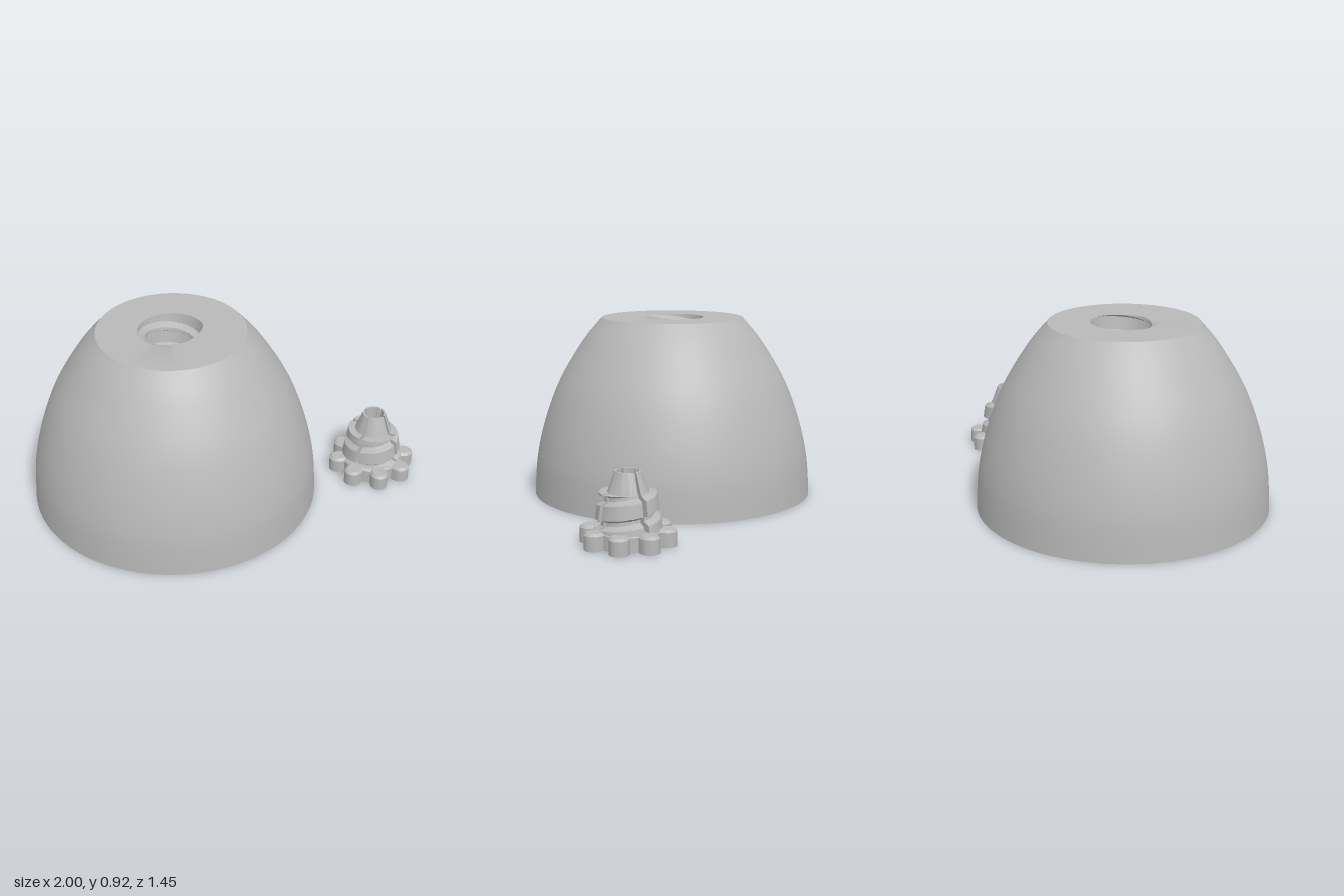
import * as THREE from 'three';
import { toCreasedNormals } from 'three/addons/utils/BufferGeometryUtils.js';

const TAU = Math.PI * 2;

// Surface from rows of points; at(i, j) gives [x, y, z] for column i of row j
function gridSurface(columns, rows, at) {
  const pos = [], index = [];
  for (let j = 0; j <= rows; j++)
    for (let i = 0; i <= columns; i++) pos.push(...at(i, j));
  for (let j = 0; j < rows; j++)
    for (let i = 0; i < columns; i++) {
      const a = j * (columns + 1) + i, b = a + 1, d = a + columns + 1, c = d + 1;
      index.push(a, b, d, b, c, d);
    }
  const g = new THREE.BufferGeometry();
  g.setAttribute('position', new THREE.Float32BufferAttribute(pos, 3));
  g.setIndex(index);
  return toCreasedNormals(g, 0.5);
}

const polar = (r, t, y) => [r * Math.sin(t), y, r * Math.cos(t)];
const range = (a, b, n) => Array.from({ length: n + 1 }, (_, i) => a + (b - a) * i / n);

// Radius of the tapered screw: helical thread below, plain cone above
function screwRadius(t, y) {
  if (y >= 0.24) return 0.094 - 0.034 * (y - 0.24) / 0.095;
  const core = 0.125 - 0.025 * (y - 0.08) / 0.16;
  const turn = (y - 0.145) / 0.11 - t / TAU;
  const f = Math.abs(turn - Math.round(turn));
  return core + 0.03 * THREE.MathUtils.clamp((0.42 - f) / 0.12, 0, 1);
}

export function createModel() {
  const model = new THREE.Group();
  const grey = new THREE.MeshStandardMaterial({ color: 0xb8b8b8 });
  grey.name = 'grey';
  const add = (parent, name, geometry) => {
    const mesh = new THREE.Mesh(geometry, grey);
    mesh.name = name;
    parent.add(mesh);
    return mesh;
  };

  // Shade: thin dome wall with a boss hanging under its flat top
  const shade = new THREE.Group();
  shade.name = 'shade';
  shade.position.x = -0.273;
  model.add(shade);
  const curve = (pts) => new THREE.SplineCurve(pts.map(p => new THREE.Vector2(...p))).getPoints(32);
  const outer = curve([[0.727, 0], [0.711, 0.2], [0.664, 0.4], [0.587, 0.6], [0.467, 0.8], [0.368, 0.92]]);
  const inner = curve([[0.36, 0.9], [0.452, 0.79], [0.572, 0.59], [0.649, 0.39], [0.696, 0.2], [0.712, 0]]);
  const boss = [[0.06, 0.665], [0.19, 0.665], [0.19, 0.9]].map(p => new THREE.Vector2(...p));
  add(shade, 'shadeWall', toCreasedNormals(new THREE.LatheGeometry([...boss, ...inner, ...outer], 128), 0.5));

  // Flat top running into the threaded conical socket
  const depths = [...range(0.08, 0.2399, 56), 0.24, 0.335];
  add(shade, 'threadedSocket', gridSurface(128, depths.length, (i, j) => {
    const t = i / 128 * TAU;
    if (j === 0) return polar(0.368, t, 0.92);
    const k = depths[j - 1];
    // Matches the screw turned upside down
    return polar(screwRadius(-t, k) + (k < 0.24 ? 0.008 : 0), t, 1 - k);
  }));

  // Screw with a hand grip, standing beside the shade
  const screw = new THREE.Group();
  screw.name = 'screw';
  screw.position.x = 0.775;
  model.add(screw);

  // Grip: disc with eight round lobes and a chamfered upper edge
  const outline = [];
  for (let i = 0; i < 256; i++) {
    const t = i / 256 * TAU, step = TAU / 8;
    const phi = t - Math.round(t / step) * step;
    const q = 0.045 ** 2 - (0.18 * Math.sin(phi)) ** 2;
    const r = Math.max(0.16, q > 0 ? 0.18 * Math.cos(phi) + Math.sqrt(q) : 0);
    outline.push(new THREE.Vector2(r * Math.cos(t), r * Math.sin(t)));
  }
  const gripShape = new THREE.Shape(outline);
  gripShape.holes.push(new THREE.Path().absarc(0, 0, 0.065, 0, TAU, true));
  const bevel = 0.012;
  const gripGeometry = new THREE.ExtrudeGeometry(gripShape, {
    depth: 0.08 - bevel, bevelThickness: bevel, bevelSize: bevel,
    bevelOffset: -bevel, bevelSegments: 1, curveSegments: 32,
  }).rotateX(-Math.PI / 2);
  const p = gripGeometry.attributes.position;
  for (let i = 0; i < p.count; i++) p.setY(i, Math.max(0, p.getY(i)));
  add(screw, 'grip', toCreasedNormals(gripGeometry, 0.5));

  // Shaft: four threaded quarters parted by narrow diagonal slots
  const n = 20, gap = 0.008, bore = 0.05;
  const heights = [...range(0.07, 0.2399, 56), 0.24, 0.335];
  for (let s = 0; s < 4; s++) {
    const middle = s * Math.PI / 2;
    const arc = (r, f, reach) => middle + (f * 2 - 1) * (Math.PI / 4 - Math.asin(gap / reach));
    add(screw, 'shaftQuarter', gridSurface(2 * n + 2, heights.length + 1, (i, j) => {
      const cap = j === 0 || j === heights.length + 1;
      const y = heights[THREE.MathUtils.clamp(j - 1, 0, heights.length - 1)];
      const col = i % (2 * n + 2);
      const isOuter = col <= n && !cap;
      const f = col <= n ? col / n : (2 * n + 1 - col) / n;
      const t = arc(0, f, isOuter ? 0.1 : bore);
      return polar(isOuter ? screwRadius(t, y) : bore, t, y);
    }));
  }

  return model;
}
